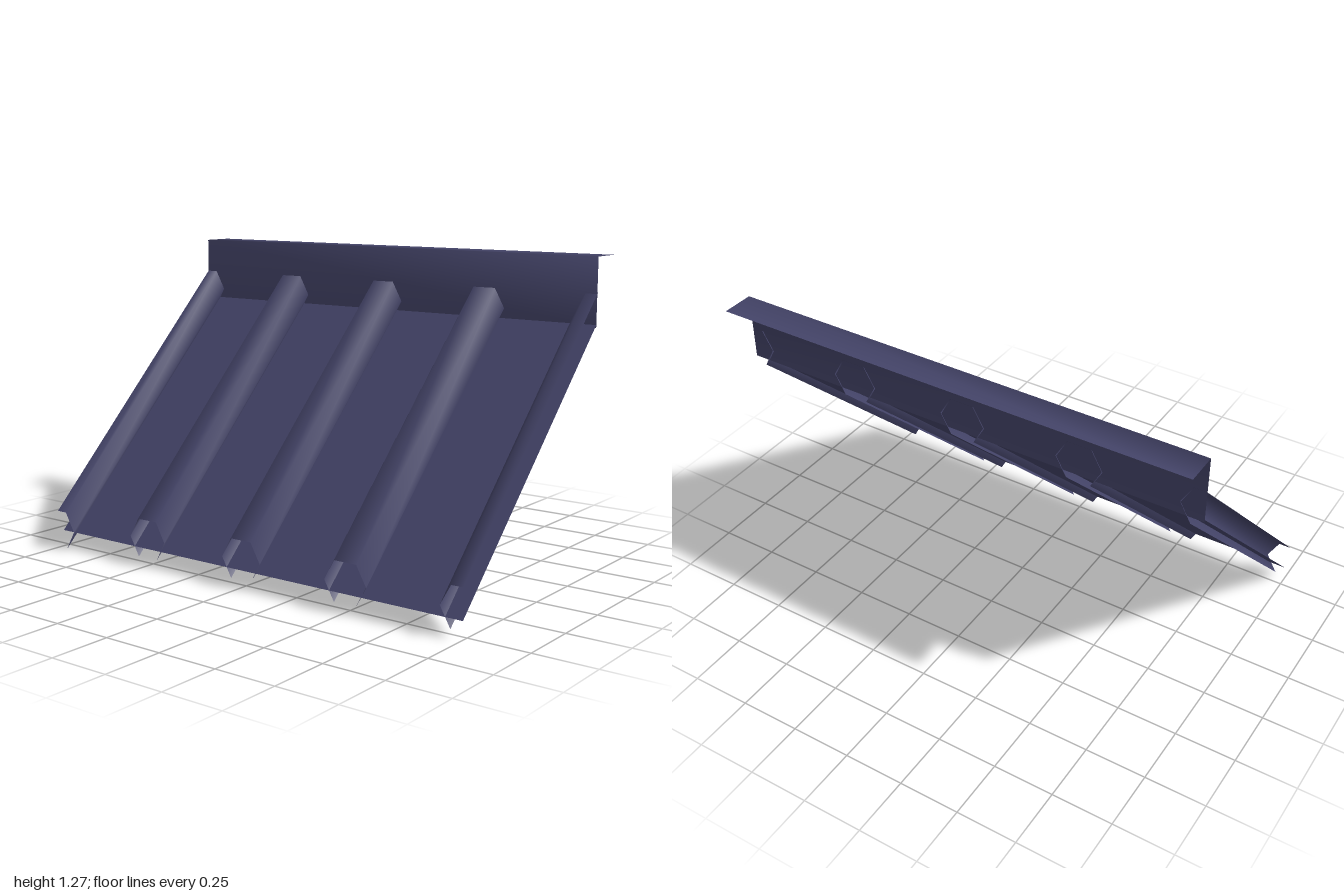
import * as THREE from 'three';

const material = new THREE.MeshStandardMaterial({ color: 0x45456a, side: THREE.DoubleSide });
const SLOPE = 0.98, FRONT = 0.53, BACK = -0.43;

// Thin smooth surface through rows of [x, y, z] points
function loft(name, rows) {
  const n = rows[0].length, index = [];
  for (let r = 0; r < rows.length - 1; r++) {
    for (let i = 0; i < n - 1; i++) {
      const a = r * n + i, b = a + n;
      index.push(a, a + 1, b, a + 1, b + 1, b);
    }
  }
  const geometry = new THREE.BufferGeometry();
  geometry.setAttribute('position', new THREE.Float32BufferAttribute(rows.flat(2), 3));
  geometry.setIndex(index);
  geometry.computeVertexNormals();
  const mesh = new THREE.Mesh(geometry, material);
  mesh.name = name;
  return mesh;
}

// Height of the rib centre line above a given depth
const ribHeight = (z) => 0.11 + SLOPE * (FRONT - z);

// Hexagonal rib, open underneath, running up the slope
function rib(name, x, profile, front = FRONT) {
  const row = (z) => profile.map(([px, py]) => [x + px, ribHeight(z) + py, z]);
  return loft(name, [row(front), row(BACK)]);
}

export function createModel() {
  const group = new THREE.Group();
  group.name = 'roofPanel';

  // Flat sloping sheet
  const across = (y, z) => [[-1, y, z], [1, y, z]];
  group.add(loft('slopingSheet', [
    across(0.07, FRONT),
    across(ribHeight(-0.425) - 0.04, -0.425),
  ]));

  // Full ribs
  const half = [[0, 0.08], [0.05, 0.08], [0.095, 0], [0.05, -0.08]];
  const mirrored = half.map(([x, y]) => [-x, y]).reverse();
  const full = [...mirrored.slice(0, 3), ...half.slice(1)];
  for (const x of [-0.502, -0.002, 0.497]) group.add(rib('rib', x, full));

  // Half ribs on the side edges; the right one overhangs the eave
  group.add(rib('rightEdgeRib', -1, half, 0.56));
  group.add(rib('leftEdgeRib', 1, mirrored));

  // Ridge flashing: upright wall with a lip folded to the back
  group.add(loft('ridgeFlashing', [
    across(0.995, -0.425),
    across(1.27, -0.425),
    across(1.27, -0.56),
  ]));

  return group;
}
